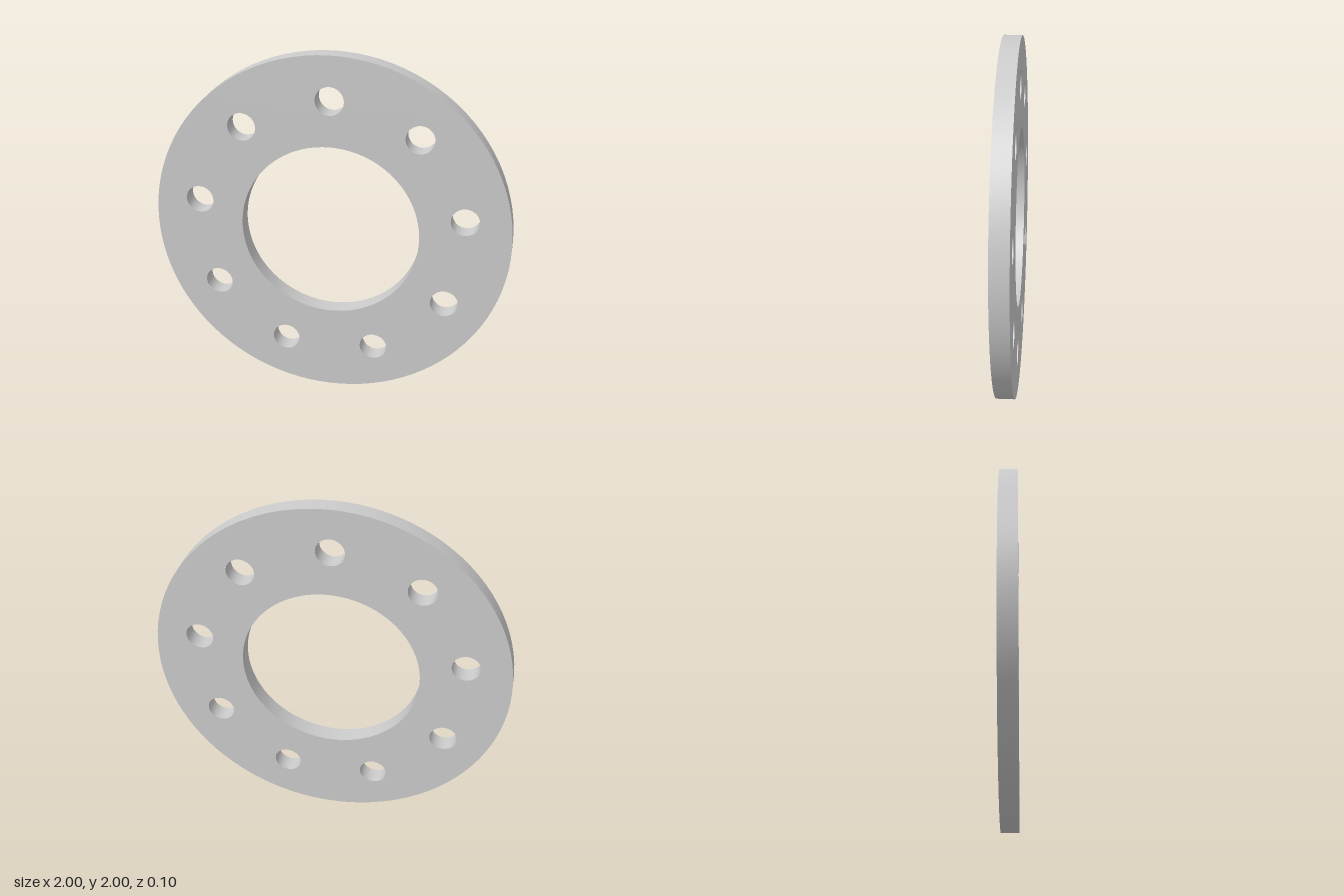
import * as THREE from 'three';
import { toCreasedNormals } from 'three/addons/utils/BufferGeometryUtils.js';

const OUTER = 1, BORE = 0.5, THICKNESS = 0.1;
const HOLES = 9, HOLE_CIRCLE = 0.755, HOLE_RADIUS = 0.078;

function circle(PathType, x, y, radius) {
  return new PathType().absarc(x, y, radius, 0, Math.PI * 2, false);
}

export function createModel() {
  const group = new THREE.Group();
  group.name = 'flange';

  // Flat ring with a central bore
  const ring = circle(THREE.Shape, 0, 0, OUTER);
  ring.holes.push(circle(THREE.Path, 0, 0, BORE));

  // Evenly spaced bolt holes, the first at the top
  for (let i = 0; i < HOLES; i++) {
    const a = Math.PI / 2 + (i / HOLES) * Math.PI * 2;
    ring.holes.push(circle(THREE.Path, HOLE_CIRCLE * Math.cos(a), HOLE_CIRCLE * Math.sin(a), HOLE_RADIUS));
  }

  const geometry = new THREE.ExtrudeGeometry(ring, { depth: THICKNESS, bevelEnabled: false, curveSegments: 48 });
  geometry.translate(0, OUTER, -THICKNESS / 2);

  const plate = new THREE.Mesh(
    toCreasedNormals(geometry, Math.PI / 6),
    new THREE.MeshStandardMaterial({ color: 0xcccccc })
  );
  plate.name = 'flangePlate';
  group.add(plate);
  return group;
}
